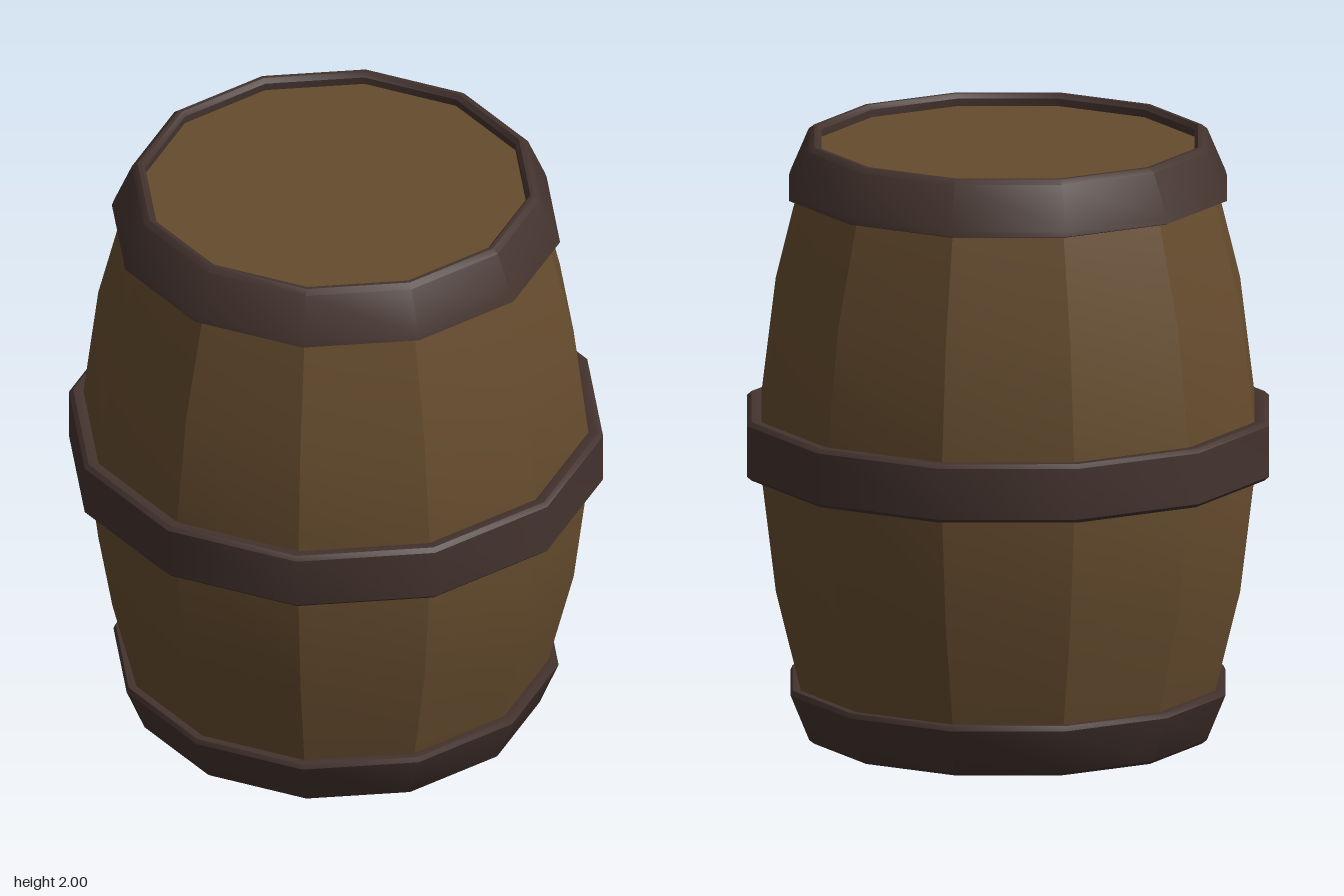
import * as THREE from 'three';
import { toCreasedNormals } from 'three/addons/utils/BufferGeometryUtils.js';

const SIDES = 12;
const wood = new THREE.MeshStandardMaterial({ color: 0x664c2e });
const iron = new THREE.MeshStandardMaterial({ color: 0x44332e });

// Twelve-sided turned part from [radius, height] pairs, listed upward along the outside
function turned(name, profile, material, crease) {
  const points = profile.map(([r, y]) => new THREE.Vector2(r, y));
  const geometry = toCreasedNormals(new THREE.LatheGeometry(points, SIDES), crease);
  const mesh = new THREE.Mesh(geometry, material);
  mesh.name = name;
  return mesh;
}

export function createModel() {
  const barrel = new THREE.Group();
  barrel.name = 'barrel';

  // Bulging staves with a flat head at each end, hard edges between staves
  barrel.add(turned('staves', [
    [0, 0.03], [0.66, 0.03], [0.70, 0.18], [0.785, 0.52], [0.845, 1],
    [0.785, 1.48], [0.70, 1.82], [0.66, 1.96], [0, 1.96],
  ], wood, 0.3));

  // Hoops: closed bevelled bands, smooth around the barrel
  const hoops = {
    bottomHoop: [
      [0.63, 0.012], [0.645, 0], [0.655, 0.002], [0.672, 0.015], [0.735, 0.168],
      [0.728, 0.184], [0.712, 0.186], [0.69, 0.18], [0.63, 0.012],
    ],
    middleHoop: [
      [0.82, 0.897], [0.868, 0.897], [0.882, 0.91], [0.882, 1.08],
      [0.868, 1.093], [0.84, 1.093], [0.82, 1.08], [0.82, 0.897],
    ],
    topHoop: [
      [0.69, 1.825], [0.73, 1.822], [0.74, 1.826], [0.734, 1.845], [0.674, 1.985],
      [0.655, 2], [0.642, 2], [0.63, 1.985], [0.63, 1.94], [0.69, 1.825],
    ],
  };
  for (const [name, profile] of Object.entries(hoops)) {
    barrel.add(turned(name, profile, iron, 0.6));
  }
  return barrel;
}
